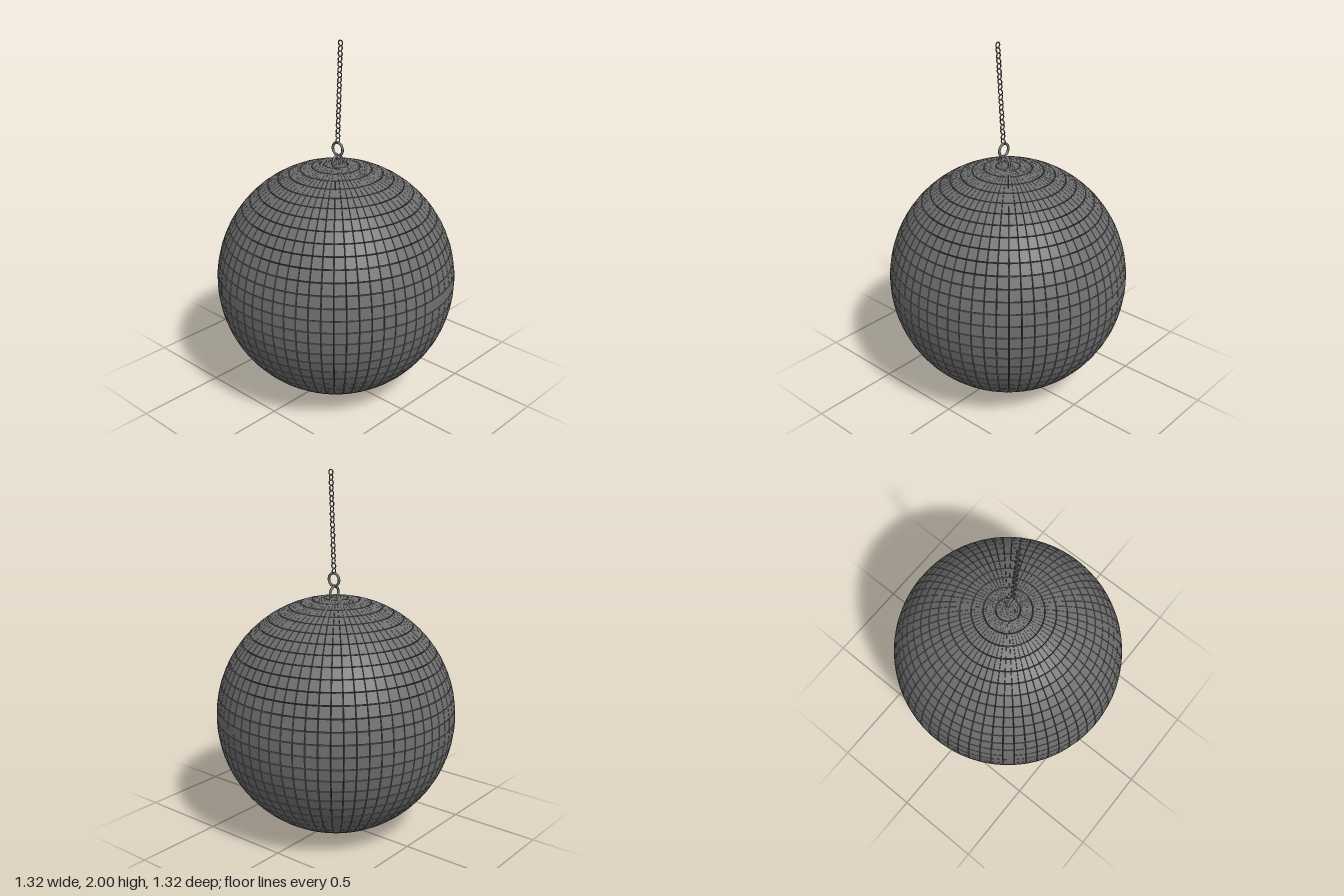
import * as THREE from 'three';

const R = 0.662;            // outer radius of the mirrored ball
const ROWS = 32, COLS = 64; // tile grid
const GAP = 0.03;           // share of a tile left open on each side

const mirror = new THREE.MeshStandardMaterial({ color: 0x6e6e6e });
const dark = new THREE.MeshStandardMaterial({ color: 0x1c1c1c });
const metal = new THREE.MeshStandardMaterial({ color: 0x6e6e6e });

// Point on a sphere, addressed by grid column and row
function gridPoint(col, row, radius) {
  const phi = (col - 0.5) / COLS * Math.PI * 2;
  const theta = row / ROWS * Math.PI;
  return [
    radius * Math.sin(theta) * Math.sin(phi),
    radius * Math.cos(theta),
    radius * Math.sin(theta) * Math.cos(phi),
  ];
}

// Flat tiles with side walls, all in one geometry
function tileGeometry() {
  const pos = [];
  const quad = (a, b, c, d) => pos.push(...a, ...b, ...c, ...a, ...c, ...d);
  for (let r = 0; r < ROWS; r++) {
    for (let c = 0; c < COLS; c++) {
      const corners = [
        [c + GAP, r + 1 - GAP], [c + 1 - GAP, r + 1 - GAP],
        [c + 1 - GAP, r + GAP], [c + GAP, r + GAP],
      ];
      const outer = corners.map(([u, v]) => gridPoint(u, v, R));
      const inner = corners.map(([u, v]) => gridPoint(u, v, R - 0.03));
      quad(...outer);
      for (let i = 0; i < 4; i++) {
        const j = (i + 1) % 4;
        quad(inner[i], inner[j], outer[j], outer[i]);
      }
    }
  }
  const geo = new THREE.BufferGeometry();
  geo.setAttribute('position', new THREE.Float32BufferAttribute(pos, 3));
  geo.computeVertexNormals();
  return geo;
}

export function createModel() {
  const model = new THREE.Group();
  model.name = 'hangingMirrorBall';

  const add = (name, geo, mat, x, y, z, parent = model) => {
    const mesh = new THREE.Mesh(geo, mat);
    mesh.name = name;
    mesh.position.set(x, y, z);
    parent.add(mesh);
    return mesh;
  };

  // Ball: dark core under the mirror tiles
  add('ballCore', new THREE.SphereGeometry(R - 0.026, COLS, ROWS), dark, 0, R, 0);
  add('mirrorTiles', tileGeometry(), mirror, 0, R, 0);

  // Mounting loop sunk into the ball, with a shackle ring through it
  const bigRing = new THREE.TorusGeometry(0.035, 0.007, 10, 32);
  add('mountingLoop', bigRing, metal, -0.008, 1.343, 0.018);
  add('shackleRing', bigRing, metal, -0.01, 1.415, 0.022).rotation.y = Math.PI / 2;

  // Chain: round links turned a quarter each time, leaning slightly
  const chain = new THREE.Group();
  chain.name = 'chain';
  model.add(chain);
  const link = new THREE.TorusGeometry(0.0137, 0.0033, 8, 20);
  const start = new THREE.Vector3(-0.012, 1.462, 0.024);
  const end = new THREE.Vector3(-0.022, 1.983, 0.052);
  const LINKS = 20;
  for (let i = 0; i < LINKS; i++) {
    const p = start.clone().lerp(end, i / (LINKS - 1));
    const mesh = add('chainLink', link, metal, p.x, p.y, p.z, chain);
    mesh.rotation.y = (i % 2) * Math.PI / 2;
  }
  return model;
}
